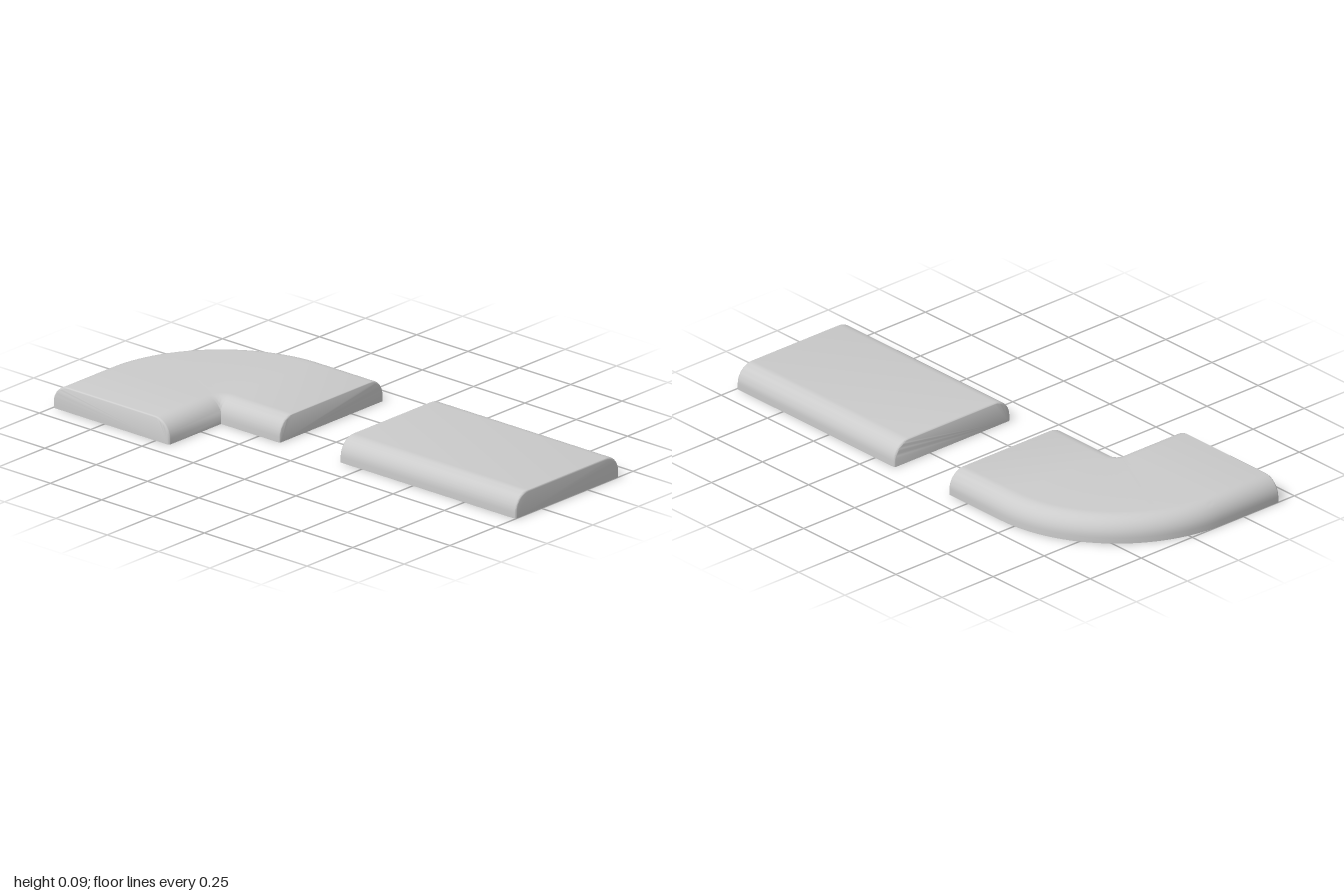
import * as THREE from 'three';
import { toCreasedNormals } from 'three/addons/utils/BufferGeometryUtils.js';

const W = 0.566, H = 0.094, R = 0.072, EDGE = 0.008;
const INNER = -0.142; // x of the inner side
const ARC = 10;

// Cross-section: flat base, upright sides, rounded shoulders; inset shrinks it
function profile(inset) {
  const pts = [[inset, 0]];
  const r = R - inset;
  for (let i = 0; i <= ARC; i++) {
    const a = (i / ARC) * Math.PI / 2;
    pts.push([R - r * Math.cos(a), H - R + r * Math.sin(a)]);
  }
  return pts.concat(pts.map(([x, y]) => [W - x, y]).reverse());
}

// Sweep the cross-section through stations {x, z, turn, inset}
function sweep(stations) {
  const pos = [], index = [];
  const n = profile(0).length;
  for (const { x, z, turn, inset } of stations) {
    for (const [r, y] of profile(inset)) {
      pos.push(x + r * Math.cos(turn), y, z - r * Math.sin(turn));
    }
  }
  const last = (stations.length - 1) * n;
  const p = (i) => new THREE.Vector3().fromArray(pos, i * 3);
  const tri = (a, b, c) => {
    const area = p(b).sub(p(a)).cross(p(c).sub(p(a))).length();
    if (area > 1e-10) index.push(a, b, c);
  };
  for (let i = 0; i < stations.length - 1; i++) {
    for (let j = 0; j < n; j++) {
      const a = i * n + j, b = i * n + (j + 1) % n;
      tri(a, b, a + n);
      tri(b, b + n, a + n);
    }
  }
  // End caps
  for (let j = 1; j < n - 1; j++) {
    tri(0, j + 1, j);
    tri(last, last + j, last + j + 1);
  }
  const g = new THREE.BufferGeometry();
  g.setAttribute('position', new THREE.Float32BufferAttribute(pos, 3));
  g.setIndex(index);
  return toCreasedNormals(g, 0.6);
}

// Softly rounded end: list of [distance from end, inset]
const ending = [0, 1, 2, 3, 4].map((i) => {
  const a = (i / 4) * Math.PI / 2;
  return [EDGE * (1 - Math.cos(a)), EDGE * (1 - Math.sin(a))];
});

export function createModel() {
  const group = new THREE.Group();
  const material = new THREE.MeshStandardMaterial({ color: 0xcccccc });
  const add = (name, stations) => {
    const mesh = new THREE.Mesh(sweep(stations), material);
    mesh.name = name;
    group.add(mesh);
  };
  const frontEnd = (z) => ending.map(([d, inset]) => ({ x: INNER, z: z - d, turn: 0, inset }));

  // Straight length
  add('straightSection', [
    ...frontEnd(1),
    ...ending.map(([d, inset]) => ({ x: INNER, z: 0.144 + d, turn: 0, inset })).reverse(),
  ]);

  // Quarter-turn elbow, pivoting on its inner corner
  const corner = -1 + W, bend = [];
  for (let i = 0; i <= 40; i++) {
    bend.push({ x: INNER, z: corner, turn: (i / 40) * Math.PI / 2, inset: 0 });
  }
  add('cornerSection', [
    ...frontEnd(-0.148),
    ...bend,
    ...ending.map(([d, inset]) => ({ x: -0.426 + d, z: corner, turn: Math.PI / 2, inset })).reverse(),
  ]);

  return group;
}
